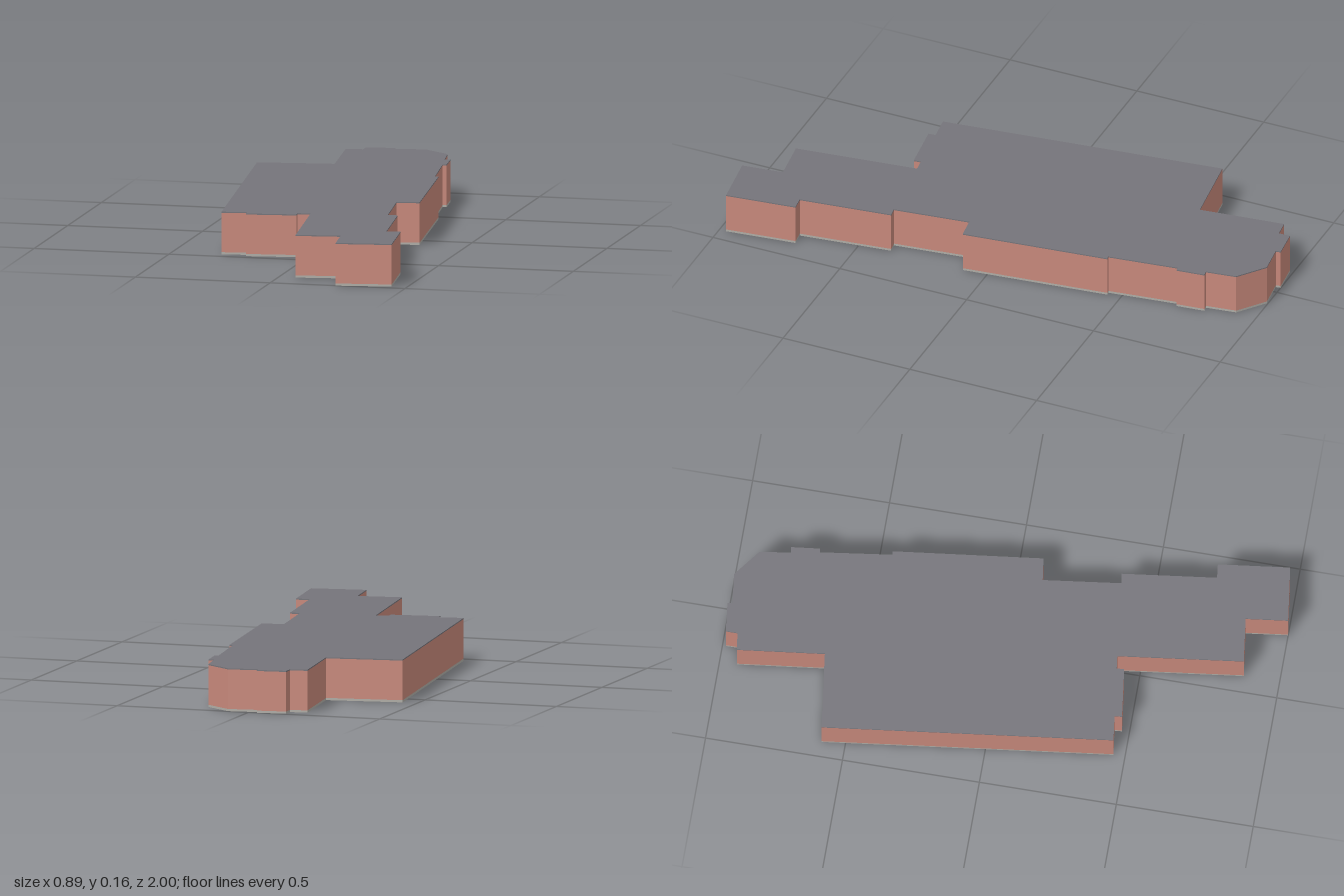
import * as THREE from 'three';

export function createModel() {
  const group = new THREE.Group();
  const roof = new THREE.MeshStandardMaterial({ name: 'slate grey roof', color: 0x75747a });
  const wall = new THREE.MeshStandardMaterial({ name: 'dusty brick wall', color: 0xc7887b });
  const stone = new THREE.MeshStandardMaterial({ name: 'pale stone base', color: 0xafada6 });

  // Footprint corners as [x, z], running round the building
  const footprint = [
    // rear end with chamfered corner
    [-0.203, -0.937], [-0.14, -0.945], [-0.14, -0.988], [-0.033, -1.0],
    [-0.03, -0.982], [0.08, -0.996], [0.18, -0.92],
    // stepped long side
    [0.196, -0.808], [0.217, -0.811], [0.229, -0.707], [0.215, -0.705],
    [0.25, -0.447], [0.263, -0.449], [0.328, 0.092], [0.246, 0.103],
    // narrow front wing
    [0.282, 0.384], [0.318, 0.379], [0.361, 0.72], [0.412, 0.714],
    [0.444, 0.973], [0.243, 1.0], [0.224, 0.848], [0.062, 0.869], [0.005, 0.417],
    // front bay of the wide block
    [-0.043, 0.423], [-0.04, 0.45], [-0.221, 0.473], [-0.223, 0.446], [-0.315, 0.458],
    // wide block
    [-0.444, -0.586], [-0.165, -0.622],
  ];
  const shape = new THREE.Shape(footprint.map(([x, z]) => new THREE.Vector2(x, -z)));

  // One storey of the footprint between two heights
  const addLayer = (name, bottom, top, material) => {
    const geometry = new THREE.ExtrudeGeometry(shape, { depth: top - bottom, bevelEnabled: false });
    geometry.rotateX(-Math.PI / 2);
    geometry.translate(0, bottom, 0);
    const mesh = new THREE.Mesh(geometry, material);
    mesh.name = name;
    group.add(mesh);
  };

  addLayer('base', 0, 0.008, stone);
  addLayer('walls', 0.008, 0.152, wall);
  addLayer('roof', 0.152, 0.156, roof);
  return group;
}
